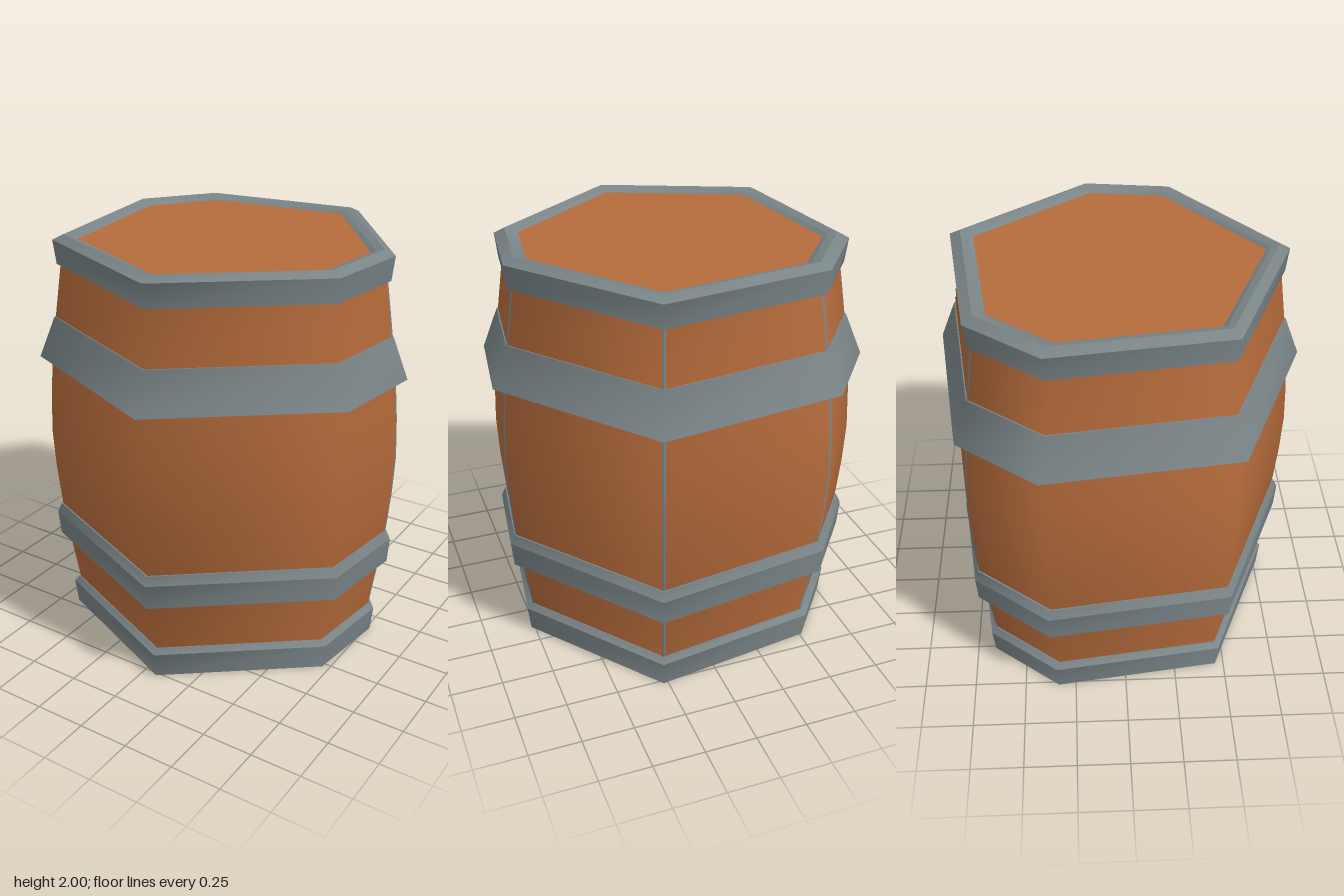
import * as THREE from 'three';

// Uneven seven-sided plan, as [x, z] at scale 1
const PLAN = [
  [-0.58, -0.75], [0.31, -0.87], [0.87, -0.16], [0.81, 0.31],
  [0.08, 0.87], [-0.75, 0.52], [-0.87, -0.38],
];

// Skin a profile of [scale, y] around the plan, smooth around the barrel.
// With crisp = true, each profile step gets its own normals.
function loft(profile, crisp) {
  const pos = [], idx = [], n = PLAN.length;
  const ring = ([s, y]) => {
    const start = pos.length / 3;
    PLAN.forEach(([x, z]) => pos.push(x * s, y, z * s));
    return start;
  };
  let low = ring(profile[0]);
  for (let k = 1; k < profile.length; k++) {
    if (crisp && k > 1) low = ring(profile[k - 1]);
    const high = ring(profile[k]);
    for (let i = 0; i < n; i++) {
      const j = (i + 1) % n;
      idx.push(low + i, high + i, low + j, low + j, high + i, high + j);
    }
    low = high;
  }
  const g = new THREE.BufferGeometry();
  g.setAttribute('position', new THREE.Float32BufferAttribute(pos, 3));
  g.setIndex(idx);
  g.computeVertexNormals();
  return g;
}

// Bulging side profile of the staves
const BODY = [
  [0.845, 0.03], [0.862, 0.15], [0.908, 0.42], [0.935, 0.6], [0.955, 0.8],
  [0.965, 1.0], [0.955, 1.2], [0.935, 1.4], [0.905, 1.6], [0.862, 1.86], [0.845, 1.97],
];

// Narrow metal seam folded over one corner of the staves
function seam(corner) {
  const n = PLAN.length, pos = [], idx = [];
  const c = new THREE.Vector2(...PLAN[corner]);
  const toward = (i) => new THREE.Vector2(...PLAN[(i + n) % n]).sub(c).normalize().multiplyScalar(0.009);
  const edges = [toward(corner - 1), new THREE.Vector2(), toward(corner + 1)];
  BODY.forEach(([s, y], r) => {
    edges.forEach((e) => pos.push(c.x * (s + 0.003) + e.x, y, c.y * (s + 0.003) + e.y));
    if (r === 0) return;
    for (let k = 0; k < 2; k++) {
      const a = (r - 1) * 3 + k, b = r * 3 + k;
      idx.push(a, b, a + 1, a + 1, b, b + 1);
    }
  });
  const g = new THREE.BufferGeometry();
  g.setAttribute('position', new THREE.Float32BufferAttribute(pos, 3));
  g.setIndex(idx);
  g.computeVertexNormals();
  return g;
}

export function createModel() {
  const wood = new THREE.MeshStandardMaterial({ color: 0xb56b3b });
  wood.name = 'wood';
  const metal = new THREE.MeshStandardMaterial({ color: 0x7a8588 });
  metal.name = 'metal';

  const barrel = new THREE.Group();
  barrel.name = 'barrel';
  const add = (name, geometry, material) => {
    const mesh = new THREE.Mesh(geometry, material);
    mesh.name = name;
    barrel.add(mesh);
  };

  // Staves and end lids
  add('staves', loft(BODY, false), wood);
  add('topLid', loft([[0.8, 1.975], [0, 1.975]], true), wood);
  add('bottomLid', loft([[0, 0.02], [0.81, 0.02]], true), wood);

  // Rims, open in the middle around the lids
  add('topRim', loft([
    [0.84, 1.86], [0.882, 1.86], [0.897, 1.975], [0.84, 2], [0.795, 1.99], [0.77, 1.977],
  ], true), metal);
  add('bottomRim', loft([
    [0.78, 0.018], [0.8, 0.005], [0.882, 0], [0.897, 0.125], [0.87, 0.15], [0.84, 0.15],
  ], true), metal);

  // Lower hoop and flared upper hoop
  add('lowerHoop', loft([
    [0.9, 0.42], [0.955, 0.42], [0.966, 0.545], [0.943, 0.59], [0.92, 0.59],
  ], true), metal);
  add('flaredHoop', loft([[0.92, 1.4], [1, 1.4], [0.912, 1.6], [0.89, 1.6]], true), metal);

  // Seams showing at some corners
  [0, 1, 2].forEach((corner) => add('seam', seam(corner), metal));

  return barrel;
}
